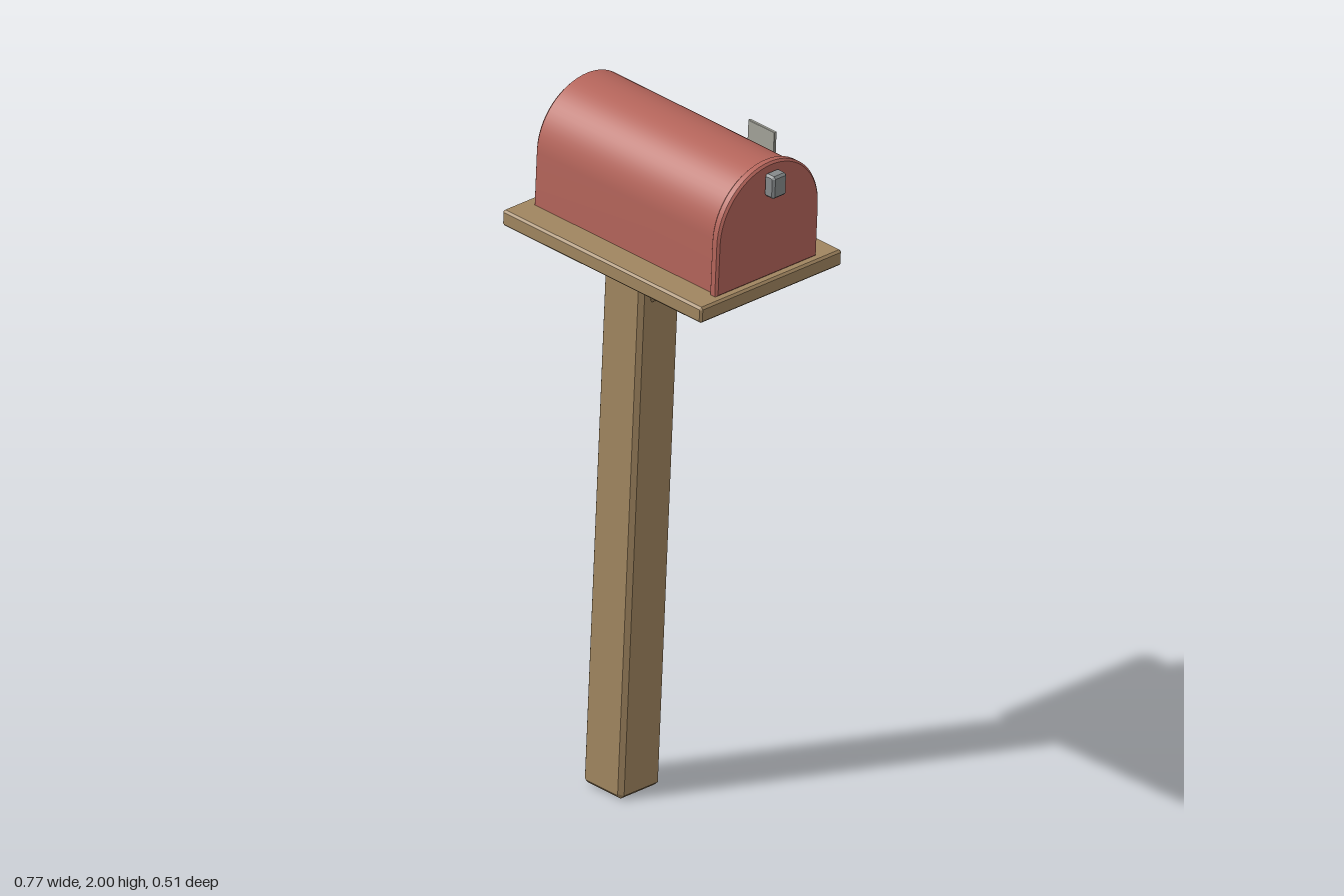
import * as THREE from 'three';
import { toCreasedNormals } from 'three/addons/utils/BufferGeometryUtils.js';

const mat = (name, color) => new THREE.MeshStandardMaterial({ name, color });

// Extrudes a shape to an exact total depth, with a one-step chamfer inside its outline
function chamfered(shape, depth, c, curveSegments = 12) {
  const geo = new THREE.ExtrudeGeometry(shape, {
    depth: depth - 2 * c, curveSegments,
    bevelEnabled: true, bevelSegments: 1, bevelSize: c, bevelThickness: c, bevelOffset: -c,
  });
  return geo.translate(0, 0, c - depth / 2);
}

// Box with all edges chamfered
function chamferBox(w, h, d, c) {
  const x = w / 2, y = h / 2;
  const pts = [[-x + c, -y], [x - c, -y], [x, -y + c], [x, y - c], [x - c, y], [-x + c, y], [-x, y - c], [-x, -y + c]];
  return chamfered(new THREE.Shape(pts.map(p => new THREE.Vector2(...p))), d, c);
}

// Straight-sided arch standing on y = 0
function archShape(r, height) {
  const s = new THREE.Shape();
  s.moveTo(-r, 0);
  s.lineTo(r, 0);
  s.lineTo(r, height - r);
  s.absarc(0, height - r, r, 0, Math.PI, false);
  s.lineTo(-r, 0);
  return s;
}

export function createModel() {
  const wood = mat('wood', 0xa18660);
  const red = mat('redPaint', 0xb5655b);
  const metal = mat('darkMetal', 0x868a8b);
  const flagGrey = mat('flagGrey', 0xa3a399);

  const model = new THREE.Group();
  model.name = 'mailbox';
  // Everything leans together on the post
  const leaning = new THREE.Group();
  leaning.name = 'leaningAssembly';
  leaning.position.set(-0.205, 0.004, 0);
  leaning.rotation.z = -0.052;
  model.add(leaning);

  function add(name, geo, material, x, y, z) {
    const mesh = new THREE.Mesh(geo, material);
    mesh.name = name;
    mesh.position.set(x, y, z);
    leaning.add(mesh);
    return mesh;
  }

  // Wooden stand, with the brace running through the post
  add('post', chamferBox(0.145, 1.612, 0.147, 0.012), wood, 0, 0.806, 0);
  add('board', chamferBox(0.738, 0.046, 0.515, 0.006), wood, 0.103, 1.636, 0);
  add('brace', chamferBox(0.335, 0.06, 0.08, 0.007), wood, 0.073, 1.485, 0).rotation.z = 0.68;

  // Arched box and its slightly larger door
  const arch = (r, h, depth, c) =>
    toCreasedNormals(chamfered(archShape(r, h), depth, c, 16), 0.5).rotateY(Math.PI / 2);
  add('body', arch(0.174, 0.33, 0.68, 0.01), red, 0.1, 1.657, 0);
  add('door', arch(0.184, 0.336, 0.028, 0.006), red, 0.439, 1.657, 0);
  add('doorLatch', chamferBox(0.036, 0.065, 0.05, 0.006), metal, 0.469, 1.935, -0.002);

  // Signal flag on the back wall
  add('flagPivot', chamferBox(0.052, 0.05, 0.036, 0.006), metal, -0.137, 1.83, -0.188);
  const x0 = -0.157, x1 = 0.162, x2 = 0.259, b = 1.797, t = 1.935;
  const outline = [
    [x0, 1.822], [x0 + 0.01, 1.813], [x1 - 0.005, 1.813], [x1 + 0.008, b], [x2 - 0.01, b],
    [x2, b + 0.01], [x2, t], [x1, t], [x1, 1.846], [x0 + 0.01, 1.846], [x0, 1.837],
  ].map(p => new THREE.Vector2(...p));
  add('flag', chamfered(new THREE.Shape(outline), 0.009, 0.001), flagGrey, 0, 0, -0.209);

  return model;
}
